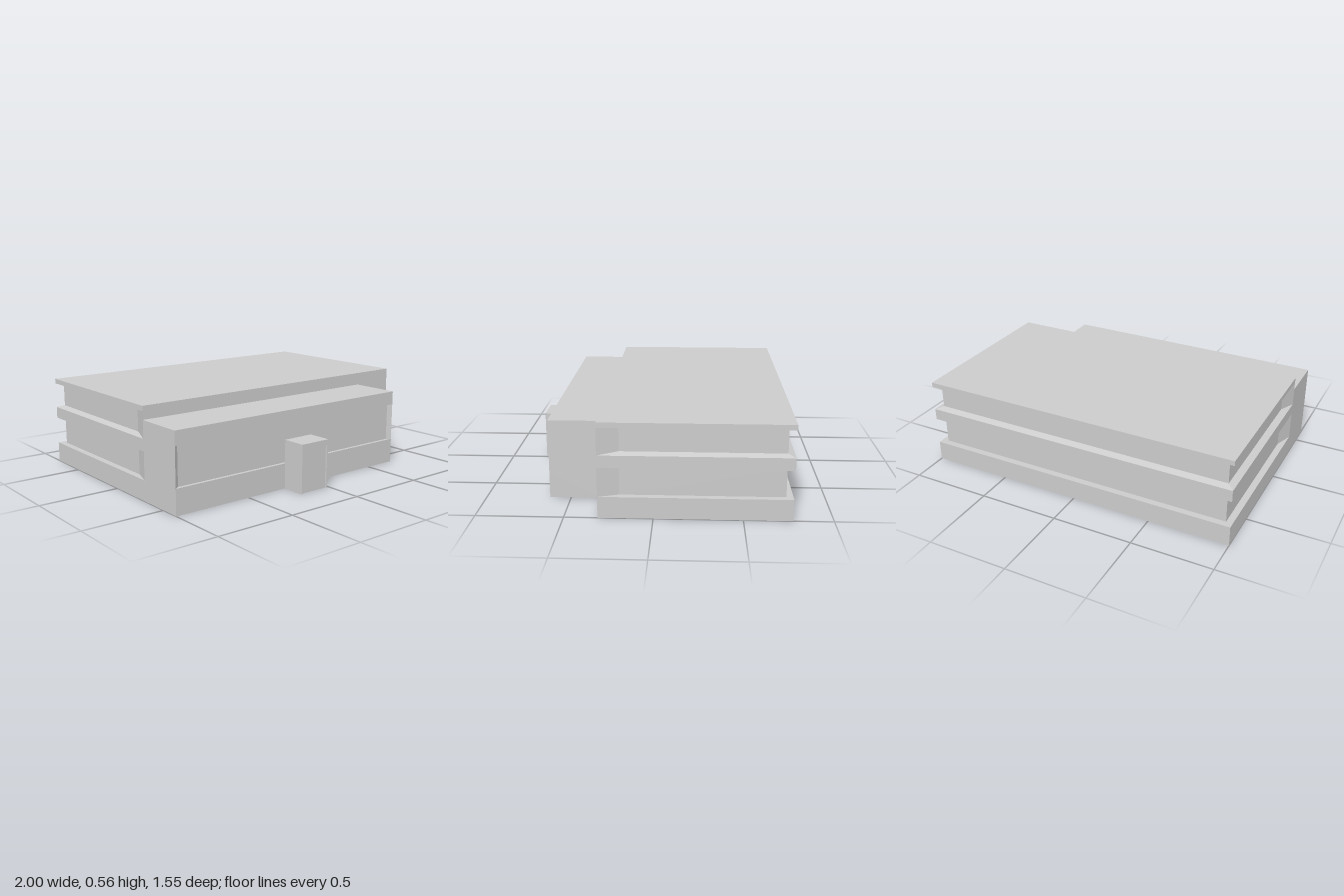
import * as THREE from 'three';

const material = new THREE.MeshStandardMaterial({ color: 0xcccccc, flatShading: true });

function add(parent, name, geometry) {
  const mesh = new THREE.Mesh(geometry, material);
  mesh.name = name;
  parent.add(mesh);
  return mesh;
}

function extrude(points, depth) {
  const shape = new THREE.Shape(points.map(([x, y]) => new THREE.Vector2(x, y)));
  return new THREE.ExtrudeGeometry(shape, { depth, bevelEnabled: false });
}

// Main block: stacked outlines whose recessed bands fade out towards the front corners
function mainBlockGeometry() {
  const D = 0.04, front = 0.31, taper = 0.19, back = -0.775;
  // [height, inset, height at the front corner]
  const levels = [
    [0, 0, 0], [0.125, 0, 0.125], [0.125, D, 0.125], [0.295, D, 0.295], [0.295, 0, 0.295],
    [0.367, 0, 0.367], [0.38, D, 0.367], [0.513, D, 0.525], [0.525, 0, 0.525], [0.555, 0, 0.555],
  ];
  const rings = levels.map(([y, d, yFront]) => {
    const half = [[1, yFront, front], [1 - d, y, taper], [1 - d, y, back + d]];
    const mirrored = half.map(([x, h, z]) => [-x, h, z]).reverse();
    return [...half, ...mirrored];
  });
  const positions = [];
  const tri = (a, b, c) => positions.push(...a, ...b, ...c);
  for (let k = 0; k < rings.length - 1; k++) {
    const a = rings[k], b = rings[k + 1];
    for (let i = 0; i < a.length; i++) {
      const j = (i + 1) % a.length;
      tri(a[i], a[j], b[j]);
      tri(a[i], b[j], b[i]);
    }
  }
  // Underside and roof
  const bottom = rings[0], top = rings[rings.length - 1];
  for (let i = 1; i < top.length - 1; i++) {
    tri(bottom[0], bottom[i + 1], bottom[i]);
    tri(top[0], top[i], top[i + 1]);
  }
  const geometry = new THREE.BufferGeometry();
  geometry.setAttribute('position', new THREE.Float32BufferAttribute(positions, 3));
  geometry.computeVertexNormals();
  return geometry;
}

export function createModel() {
  const building = new THREE.Group();
  building.name = 'building';
  add(building, 'mainBlock', mainBlockGeometry());

  // Front wing: side profile with a long window recess, swept across the width
  const wing = new THREE.Group();
  wing.name = 'frontWing';
  building.add(wing);
  const left = 0.71, right = -1, face = 0.625, pane = 0.605, sill = 0.155, head = 0.39;
  const body = extrude([
    [0.31, 0], [face, 0], [face, sill], [pane, sill],
    [pane, head], [face, head], [face, 0.475], [0.31, 0.475],
  ], left - right);
  body.rotateY(-Math.PI / 2).translate(left, 0, 0);
  add(wing, 'wingBody', body);

  // Slanted jambs closing both ends of the window recess
  for (const [name, x, inward] of [['leftJamb', left, -1], ['rightJamb', right, 1]]) {
    const jamb = extrude([[x, -pane], [x, -face], [x + inward * 0.028, -pane]], head - sill);
    jamb.rotateX(-Math.PI / 2).translate(0, sill, 0);
    add(wing, name, jamb);
  }

  // Entrance porch: solid box behind a thin door frame
  const porch = new THREE.Group();
  porch.name = 'porch';
  building.add(porch);
  const x0 = -0.225, x1 = -0.02, h = 0.3, doorZ = 0.763, porchZ = 0.775;
  const box = new THREE.BoxGeometry(x1 - x0, h, doorZ - face);
  box.translate((x0 + x1) / 2, h / 2, (doorZ + face) / 2);
  add(porch, 'porchBody', box);
  const jambWidth = 0.007;
  const frame = extrude([
    [x0, 0], [x0 + jambWidth, 0], [x0 + jambWidth, 0.265], [x1 - jambWidth, 0.265],
    [x1 - jambWidth, 0], [x1, 0], [x1, h], [x0, h],
  ], porchZ - doorZ);
  frame.translate(0, 0, doorZ);
  add(porch, 'doorFrame', frame);

  return building;
}
